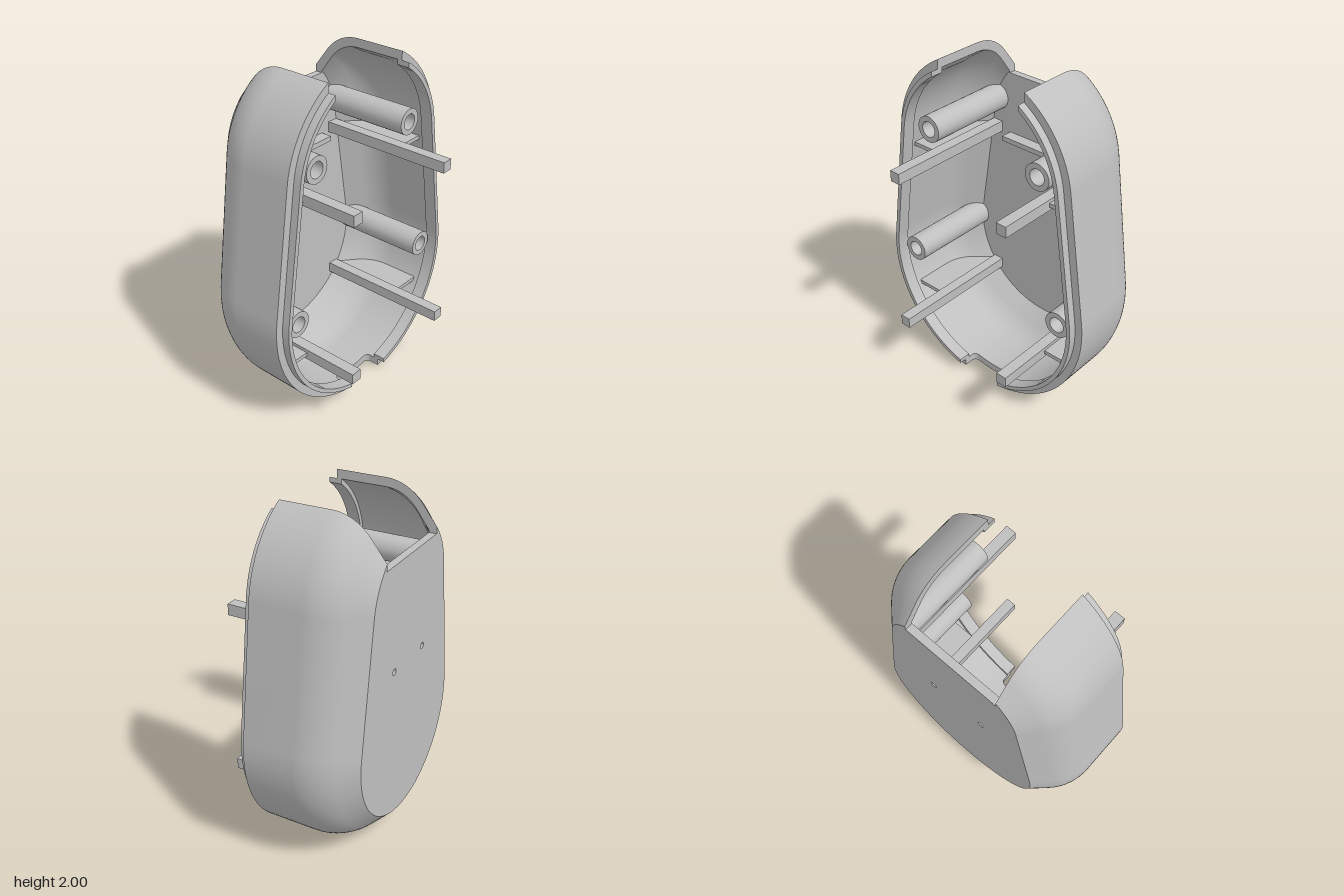
import * as THREE from 'three';
import { mergeGeometries } from 'three/addons/utils/BufferGeometryUtils.js';

// Outline: two circles joined by tangent lines, shrunk inward by an offset d
const LOW = { y: 0.71, r: 0.71 }, HIGH = { y: 1.475, r: 0.6 };
const GAP = 0.29, CUT = 1.74;               // opening at the top
const NOTCH = 0.15, NOTCH_Z = 0.08, NR = 0.03; // notch in the bottom rim
const RIM = 0.17, BACK = -0.434, FLOOR = -0.39, WALL = 0.045;
const A = Math.asin((LOW.r - HIGH.r) / (HIGH.y - LOW.y));
const S = Math.sin(A), C = Math.cos(A);

// Right half of the outline, from the opening down to the notch edge: [x, y, rim z]
function halfOutline(d) {
  const pts = [];
  const arc = (c, from, to, n) => {
    for (let i = 0; i <= n; i++) {
      const t = from + (to - from) * i / n;
      pts.push([(c.r - d) * Math.cos(t), c.y + (c.r - d) * Math.sin(t), RIM]);
    }
  };
  arc(HIGH, Math.acos(GAP / (HIGH.r - d)), A, 18);
  arc(LOW, A, -Math.acos(NOTCH / (LOW.r - d)), 32);
  return pts;
}

// Whole outline, with the rim lowered across the notch
function outline(d) {
  const half = halfOutline(d);
  const add = (x, z) => half.push([x, LOW.y - Math.sqrt((LOW.r - d) ** 2 - x * x), z]);
  for (let i = 0; i <= 5; i++) {
    const t = i / 5 * Math.PI / 2;
    add(NOTCH - NR * (1 - Math.cos(t)), NOTCH_Z + NR * (1 - Math.sin(t)));
  }
  add(0.06, NOTCH_Z);
  const left = half.map(([x, y, z]) => [-x, y, z]).reverse();
  add(0, NOTCH_Z);
  return half.concat(left);
}

// Wall profile as [offset, z]: straight, quarter-round to 45 degrees, then a bevel
function profile(start, R, endOffset, endZ) {
  const pts = [[start, null]];
  for (let i = 0; i <= 10; i++) {
    const t = i / 10 * Math.PI / 4;
    pts.push([start + R * (1 - Math.cos(t)), -0.13 - R * Math.sin(t)]);
  }
  pts.push([endOffset, endZ]);
  return pts;
}
const OUTER = profile(0, 0.3, 0.18, BACK);
const INNER = profile(WALL, 0.3 - WALL, 0.2, FLOOR);

// Surface through rows of points
function strip(rows, flat = false) {
  const n = rows[0].length, index = [];
  for (let r = 0; r + 1 < rows.length; r++) {
    for (let i = 0; i + 1 < n; i++) {
      const a = r * n + i, b = a + n;
      index.push(a, b, a + 1, a + 1, b, b + 1);
    }
  }
  let g = new THREE.BufferGeometry();
  g.setAttribute('position', new THREE.Float32BufferAttribute(rows.flat(2), 3));
  g.setIndex(index);
  if (flat) g = g.toNonIndexed();
  g.computeVertexNormals();
  return g;
}

const wallRows = (prof) => prof.map(([d, z]) => outline(d).map(([x, y, f]) => [x, y, z ?? f]));

// Flat plate filling the outline at depth z
function plate(d, z, holes = []) {
  const pts = outline(d).map(([x, y]) => new THREE.Vector2(x, y))
    .filter((p, i, all) => i === 0 || p.distanceTo(all[i - 1]) > 1e-5);
  pts.push(new THREE.Vector2(-GAP, CUT), new THREE.Vector2(GAP, CUT));
  const shape = new THREE.Shape(pts);
  for (const [x, y, r] of holes) shape.holes.push(new THREE.Path().absarc(x, y, r, 0, Math.PI * 2, true));
  return new THREE.ShapeGeometry(shape, 12).translate(0, 0, z);
}

// Distance of a point inward from the outline
function offsetAt(x, y) {
  x = Math.abs(x);
  const t = -x * S + (y - LOW.y) * C;
  if (t <= 0) return LOW.r - Math.hypot(x, y - LOW.y);
  if (t >= (HIGH.y - LOW.y) * C) return HIGH.r - Math.hypot(x, y - HIGH.y);
  return LOW.r - (x * C + (y - LOW.y) * S);
}

// Depth of the inner surface at a point
function depthAt(x, y) {
  const d = offsetAt(x, y);
  for (let i = 2; i < INNER.length; i++) {
    const [d0, z0] = INNER[i - 1], [d1, z1] = INNER[i];
    if (d <= d1) return z0 + (z1 - z0) * Math.max(0, (d - d0) / (d1 - d0));
  }
  return FLOOR;
}

// Half width of the outline at a height
function halfWidth(y, d) {
  if (y < LOW.y) return Math.sqrt((LOW.r - d) ** 2 - (y - LOW.y) ** 2);
  return (LOW.r - d - (y - LOW.y) * S) / C;
}

// Hollow screw post whose foot follows the inner surface
function postGeometry(px, py) {
  const foot = -0.3, R = 0.077, r = 0.046, depth = 0.3;
  const tube = new THREE.CylinderGeometry(R, R, RIM - foot, 32, 1, true)
    .rotateX(Math.PI / 2).translate(px, py, (RIM + foot) / 2);
  const p = tube.attributes.position;
  for (let i = 0; i < p.count; i++) {
    if (p.getZ(i) < 0) p.setZ(i, depthAt(p.getX(i), p.getY(i)) - 0.01);
  }
  const bore = new THREE.CylinderGeometry(r, 0.038, depth, 32, 1, true).scale(1, 1, 1)
    .rotateX(Math.PI / 2).translate(px, py, RIM - depth / 2);
  // Turn the bore inside out
  const idx = bore.index.array;
  for (let i = 0; i < idx.length; i += 3) [idx[i], idx[i + 1]] = [idx[i + 1], idx[i]];
  const n = bore.attributes.normal;
  for (let i = 0; i < n.count; i++) n.setXYZ(i, -n.getX(i), -n.getY(i), -n.getZ(i));
  const rim = new THREE.RingGeometry(r, R, 32).translate(px, py, RIM);
  const base = new THREE.CircleGeometry(0.038, 32).translate(px, py, RIM - depth);
  return mergeGeometries([tube, bore, rim, base]);
}

// Thin web from a peg to the side wall
function ribGeometry(y) {
  const pts = [[0.39, 0.1], ...INNER.map(([d, z]) => [halfWidth(y, d - 0.01), z ?? 0.1]), [0.39, -0.4]];
  const shape = new THREE.Shape(pts.map(([x, z]) => new THREE.Vector2(x, z)));
  return new THREE.ExtrudeGeometry(shape, { depth: 0.024, bevelEnabled: false })
    .rotateX(Math.PI / 2).translate(0, y + 0.012, 0);
}

export function createModel() {
  const model = new THREE.Group();
  model.name = 'caseHalf';
  const grey = new THREE.MeshStandardMaterial({ color: 0xbfbfbf, side: THREE.DoubleSide });
  grey.name = 'grey plastic';
  const add = (name, geometry) => {
    const mesh = new THREE.Mesh(geometry, grey);
    mesh.name = name;
    model.add(mesh);
    return mesh;
  };

  // Shell
  const outer = wallRows(OUTER), inner = wallRows(INNER);
  add('outerWall', strip(outer));
  add('innerWall', strip(inner));
  add('rim', strip([outer[0], inner[0]], true));
  const holes = [-1, 1].map((s) => [s * 0.17, 1.13, 0.019]);
  add('backPlate', plate(0.18, BACK, holes));
  add('floor', plate(0.2, FLOOR));

  // Edges of the top opening
  add('openingSill', strip([
    [[-GAP, CUT, BACK], [GAP, CUT, BACK]],
    [[-GAP, CUT, FLOOR], [GAP, CUT, FLOOR]]], true));
  for (const end of [0, outer[0].length - 1]) {
    const x = end ? -GAP : GAP;
    add('openingEdge', strip([
      [...outer.map((row) => row[end]), [x, CUT, BACK]],
      [...inner.map((row) => row[end]), [x, CUT, FLOOR]]], true));
  }

  // Small blind holes in the back
  for (const [x, y, r] of holes) {
    const depth = 0.03;
    add('backHoleWall', new THREE.CylinderGeometry(r, r, depth, 20, 1, true)
      .rotateX(Math.PI / 2).translate(x, y, BACK + depth / 2));
    add('backHoleEnd', new THREE.CircleGeometry(r, 20).rotateY(Math.PI).translate(x, y, BACK + depth));
  }

  // Cross ridge on the floor
  add('floorRidge', new THREE.BoxGeometry(0.57, 0.03, 0.08).translate(0, 1.355, -0.36));

  // Locating lip inside the rim, in two halves
  const section = [[WALL, 0.14], [WALL, 0.215], [0.07, 0.215], [0.07, 0.14], [WALL, 0.14]];
  const lipRows = section.map(([d, z]) => halfOutline(d).map(([x, y]) => [x, y, z]));
  const last = lipRows[0].length - 1;
  const lipParts = [0, 1, 2, 3].map((i) => strip([lipRows[i], lipRows[i + 1]]).toNonIndexed());
  for (const e of [0, last]) {
    lipParts.push(strip([[lipRows[0][e], lipRows[1][e]], [lipRows[3][e], lipRows[2][e]]], true));
  }
  const lip = mergeGeometries(lipParts);

  for (const side of [1, -1]) {
    add('lip', lip).scale.x = side;
    // Screw posts
    add('upperPost', postGeometry(side * 0.38, 1.57));
    add('lowerPost', postGeometry(side * 0.54, 0.715));
    // Square pegs with side ribs
    for (const y of [1.387, 0.402]) {
      add('peg', new THREE.BoxGeometry(0.065, 0.065, 0.835).translate(side * 0.378, y, 0.0175));
      add('pegRib', ribGeometry(y)).scale.x = side;
    }
  }
  return model;
}
